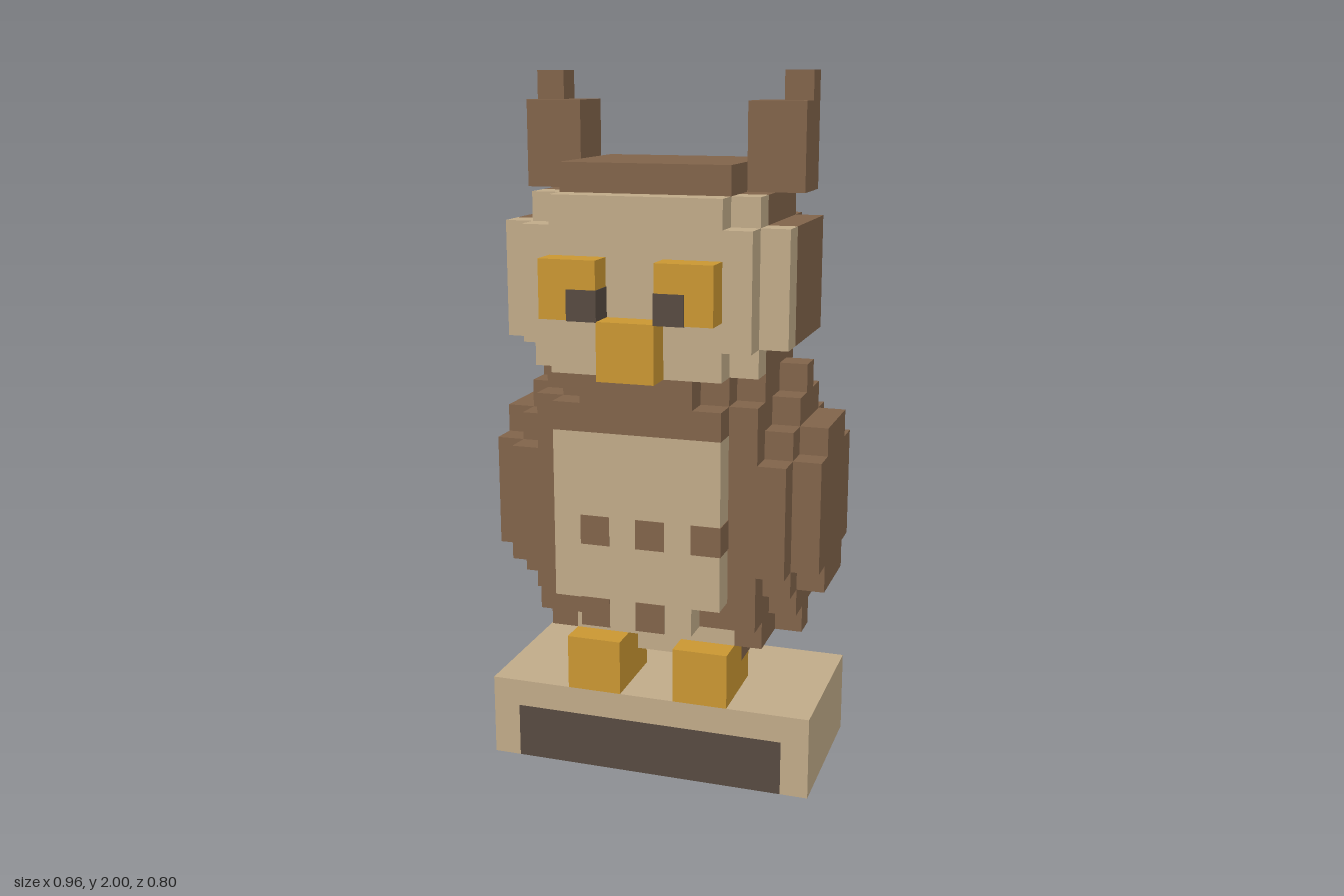
import * as THREE from 'three';

const U = 0.08; // one block

export function createModel() {
  const model = new THREE.Group();
  model.name = 'blockOwl';
  const material = (name, color) => {
    const m = new THREE.MeshStandardMaterial({ color });
    m.name = name;
    return m;
  };
  const brown = material('brown feathers', 0x80634a);
  const tan = material('tan', 0xc0aa88);
  const amber = material('amber', 0xc99632);
  const dark = material('dark', 0x564a40);

  // Box between block coordinates; grow lifts painted blocks off the surface
  function box(name, mat, x0, x1, y0, y1, z0, z1, grow = 0) {
    const geometry = new THREE.BoxGeometry(
      (x1 - x0) * U + grow, (y1 - y0) * U + grow, (z1 - z0) * U + grow);
    const mesh = new THREE.Mesh(geometry, mat);
    mesh.name = name;
    mesh.position.set((x0 + x1) * U / 2, (y0 + y1) * U / 2, (z0 + z1) * U / 2);
    model.add(mesh);
  }
  // Centred on x
  const mid = (name, mat, w, ...r) => box(name, mat, -w, w, ...r);
  // Mirrored left and right
  function pair(name, mat, x0, x1, ...r) {
    box(name + 'Left', mat, x0, x1, ...r);
    box(name + 'Right', mat, -x1, -x0, ...r);
  }

  // Plinth with dark inlay showing at front, back and underneath
  mid('plinthTop', tan, 6, 2, 3, -3, 3);
  pair('plinthEnd', tan, 5, 6, 0, 2, -3, 3);
  mid('plinthInlay', dark, 5, 0, 2, -3, 3);

  // Feet
  pair('foot', amber, 1, 3, 3, 4, 0, 3);
  pair('toes', amber, 1, 3, 4, 5, 1, 3);

  // Underside of the body
  mid('underBody', brown, 3, 4, 5, -2, 0);
  pair('thigh', brown, 1, 3, 4, 5, 0, 1);
  mid('lowerTuft', tan, 1, 4, 5, 0, 1);
  mid('lowerBody', brown, 3, 5, 6, -2, 1);
  mid('lowerBelly', tan, 3, 5, 6, 1, 2);
  pair('hip', brown, 3, 4, 5, 6, -2, 2);

  // Body, stepped outwards
  mid('body', brown, 3, 6, 15, -3, 3);
  pair('flank', brown, 3, 4, 6, 14, -3, 3);
  pair('shoulder', brown, 3, 4, 14, 15, -2, 2);
  for (const [y0, y1, z0, z1] of [[8, 12, -4, 3], [7, 13, -3, 2], [6, 14, -2, 1], [5, 15, -1, 0]])
    pair('wingBase', brown, 4, 5, y0, y1, z0, z1);
  pair('wing', brown, 5, 6, 7, 13, -2, 1);
  pair('wingEdge', brown, 5, 6, 8, 12, -3, 2);

  // Back and tail
  mid('back', brown, 3, 7, 14, -4, -3);
  mid('backCentre', brown, 2, 6, 15, -4, -3);
  mid('tail', brown, 1, 4, 7, -5, -3);

  // Breast and speckled belly
  mid('breast', brown, 3, 13, 14, 3, 4);
  mid('collar', brown, 2, 14, 15, 3, 4);
  mid('belly', tan, 3, 7, 13, 3, 4);
  mid('bellyHem', tan, 2, 6, 7, 3, 4);
  for (const x of [-2, 0, 2]) box('speckle', brown, x, x + 1, 9, 10, 3, 4, 0.004);
  for (const x of [-2, 0]) box('speckle', brown, x, x + 1, 6, 7, 3, 4, 0.004);

  // Head: brown behind, tan face in front
  for (const [name, mat, w, z0, z1] of [
    ['headBack', brown, 3, -3, -2], ['head', brown, 4, -2, 2],
    ['faceRim', tan, 4, 2, 3], ['face', tan, 3, 3, 4]]) {
    mid(name, mat, w, 15, 21, z0, z1);
    pair(name + 'Cheek', mat, w, w + 1, 16, 20, z0, z1);
  }
  mid('crown', brown, 3, 21, 22, -2, 3);

  // Ear tufts
  pair('ear', brown, 3, 5, 21, 24, -1, 1);
  pair('earTip', brown, 4, 5, 24, 25, -1, 0);

  // Eyes and beak
  pair('eye', amber, 1, 3, 17, 19, 4, 5);
  pair('pupil', dark, 1, 2, 17, 18, 4, 5, 0.004);
  mid('beak', amber, 1, 15, 17, 4, 5);

  return model;
}
